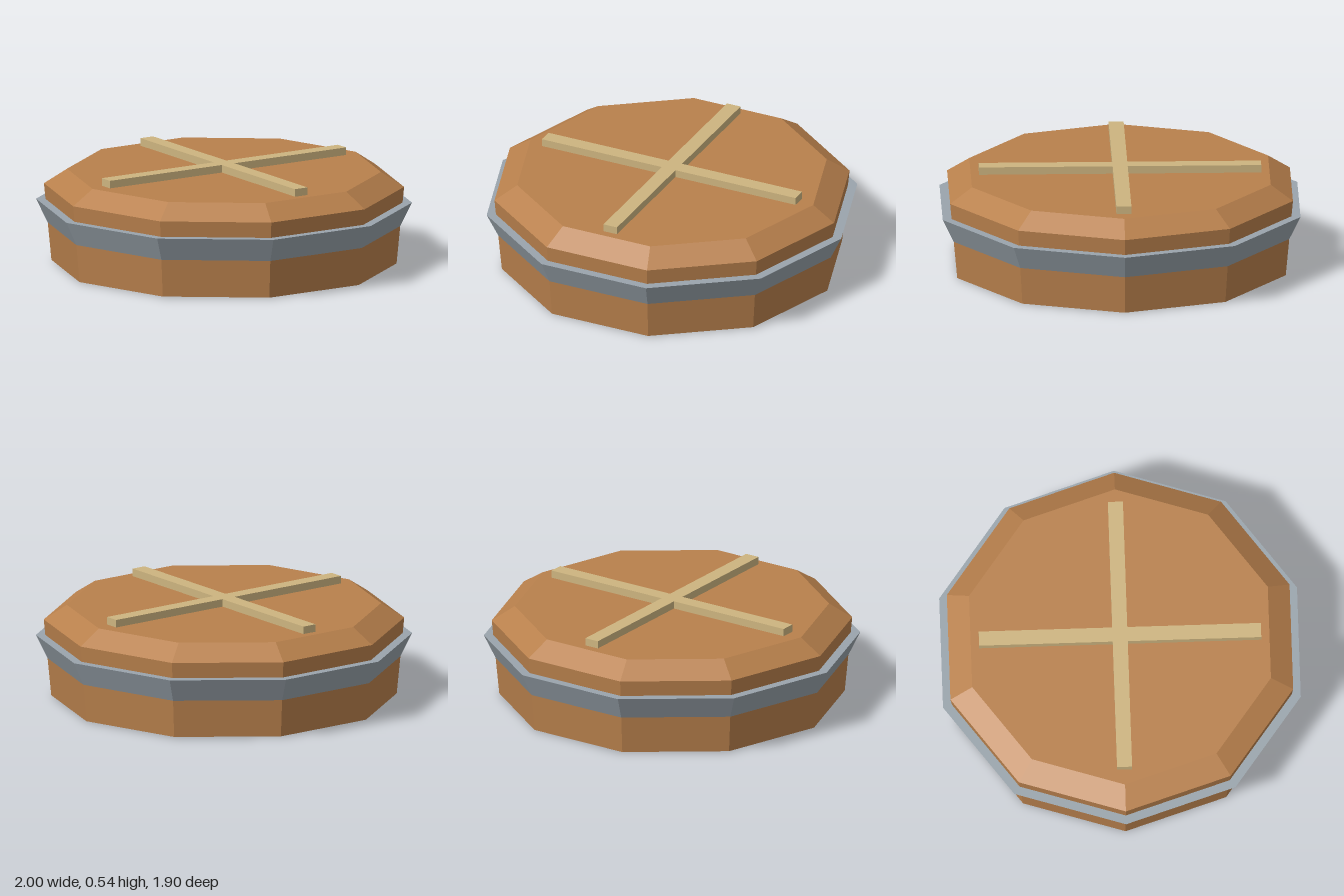
import * as THREE from 'three';

const SIDES = 10;

function material(name, color) {
  const m = new THREE.MeshStandardMaterial({ color, flatShading: true });
  m.name = name;
  return m;
}

// Ten-sided solid from a bottom-to-top profile of [radius, height], with corners on the x axis
function faceted(name, profile, mat) {
  const points = profile.map(([r, y]) => new THREE.Vector2(r, y));
  const mesh = new THREE.Mesh(new THREE.LatheGeometry(points, SIDES, Math.PI / 2), mat);
  mesh.name = name;
  return mesh;
}

export function createModel() {
  const wood = material('wood', 0xb8804c);
  const metal = material('metal', 0x9aa4ac);
  const paleWood = material('pale wood', 0xcdb47f);
  const group = new THREE.Group();
  group.name = 'roundBox';

  // Wooden body, flaring slightly, with a bevelled top
  group.add(faceted('body', [[0, 0.003], [0.918, 0.003], [0.958, 0.42], [0.835, 0.5], [0, 0.5]], wood));

  // Metal band, wider at its upper edge
  group.add(faceted('band', [[0.93, 0.207], [0.938, 0.207], [1, 0.335], [0.93, 0.335]], metal));

  // Thin metal plate underneath
  group.add(faceted('basePlate', [[0, 0], [0.84, 0], [0.84, 0.004], [0, 0.004]], metal));

  // Raised cross on the top: one arm outline turned four times
  const L = 0.75, w = 0.04;
  const outline = [];
  for (let i = 0; i < 4; i++) {
    for (const [x, y] of [[L, -w], [L, w], [w, w]]) {
      outline.push(new THREE.Vector2(x, y).rotateAround(new THREE.Vector2(), i * Math.PI / 2));
    }
  }
  const crossGeometry = new THREE.ExtrudeGeometry(new THREE.Shape(outline), { depth: 0.045, bevelEnabled: false });
  crossGeometry.rotateX(-Math.PI / 2);
  const cross = new THREE.Mesh(crossGeometry, paleWood);
  cross.name = 'topCross';
  cross.position.y = 0.496;
  group.add(cross);

  return group;
}
